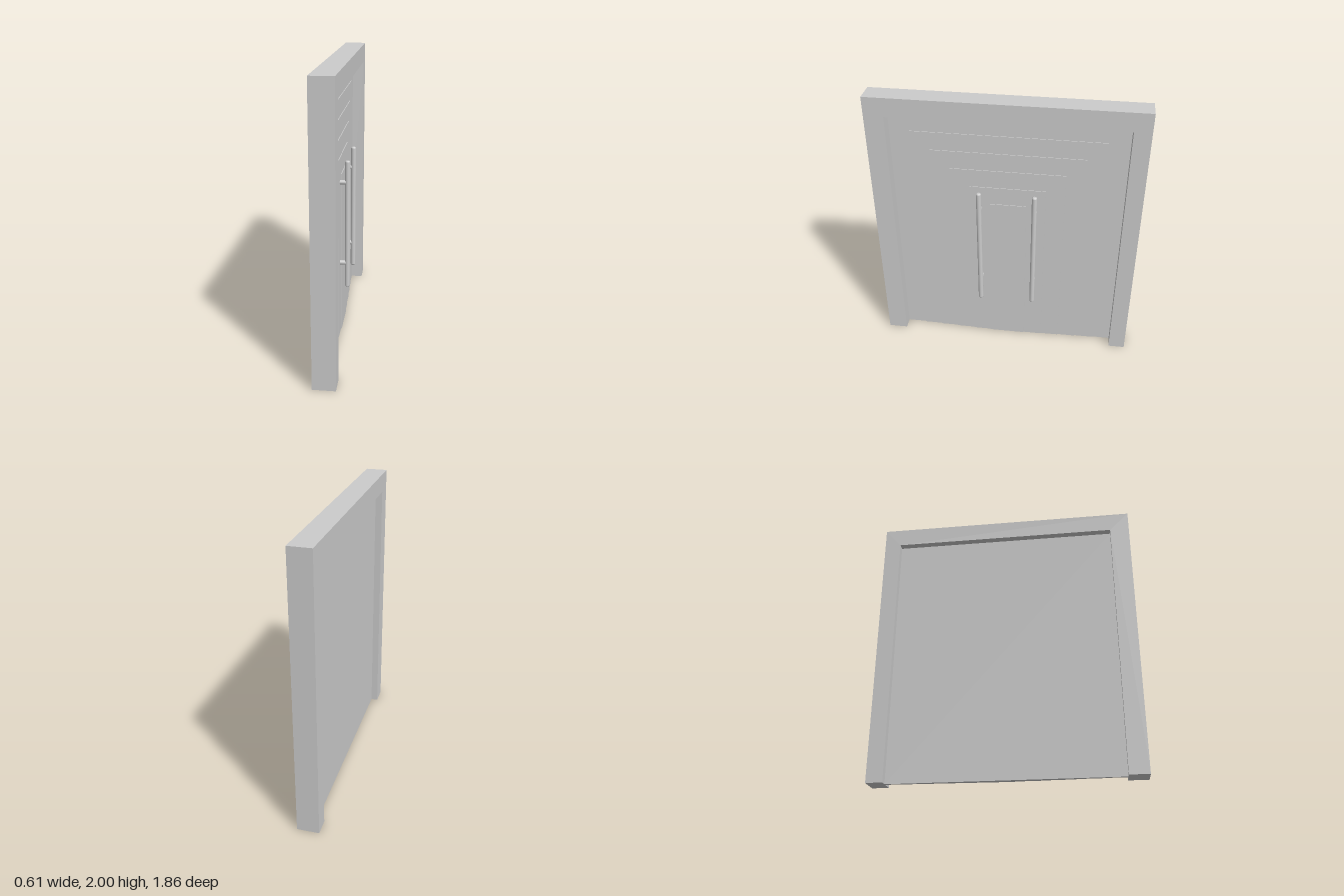
import * as THREE from 'three';

const grey = new THREE.MeshStandardMaterial({ color: 0xcccccc });

function add(parent, name, geometry, x = 0, y = 0, z = 0) {
  const mesh = new THREE.Mesh(geometry, grey);
  mesh.name = name;
  mesh.position.set(x, y, z);
  parent.add(mesh);
  return mesh;
}

export function createModel() {
  const model = new THREE.Group();
  model.name = 'doorway';
  // Built with the wall running along z and its handle side facing +x
  model.rotation.y = THREE.MathUtils.degToRad(14);

  const halfLength = 0.938, halfDepth = 0.078;
  const doorCentre = -0.01, doorHalf = 0.81, doorTop = 1.865;

  // Surround: one solid portal, open down to the floor
  const portal = new THREE.Shape([
    [-halfLength, 0], [doorCentre - doorHalf, 0], [doorCentre - doorHalf, doorTop],
    [doorCentre + doorHalf, doorTop], [doorCentre + doorHalf, 0],
    [halfLength, 0], [halfLength, 2], [-halfLength, 2],
  ].map(([u, y]) => new THREE.Vector2(u, y)));
  const surround = new THREE.ExtrudeGeometry(portal, { depth: halfDepth * 2, bevelEnabled: false });
  surround.rotateY(-Math.PI / 2);
  add(model, 'surround', surround, halfDepth);

  // Door: a backing slab with nested panels, each stepping slightly forward
  const door = new THREE.Group();
  door.name = 'door';
  model.add(door);
  const back = -0.027, slabFront = -0.008, step = 0.005;
  add(door, 'doorSlab', new THREE.BoxGeometry(slabFront - back, doorTop, doorHalf * 2),
    (back + slabFront) / 2, doorTop / 2, doorCentre);
  for (let k = 1; k <= 5; k++) {
    const height = doorTop - 0.132 * k;
    add(door, 'steppedPanel', new THREE.BoxGeometry(step, height, 0.268 * (6 - k)),
      slabFront + step * (k - 0.5), height / 2, doorCentre);
  }

  // Pull handles: a round-ended bar on two standoffs, one per side
  const r = 0.018, half = 0.47, fillet = 0.011;
  const end = [];
  for (let i = 0; i <= 4; i++) {
    const a = (i / 4) * Math.PI / 2;
    end.push(new THREE.Vector2(r - fillet + fillet * Math.cos(a), half - fillet + fillet * Math.sin(a)));
  }
  end.push(new THREE.Vector2(0, half));
  const mirrored = end.map(p => new THREE.Vector2(p.x, -p.y)).reverse();
  const bar = new THREE.LatheGeometry([...mirrored, ...end], 20);
  const barX = 0.065, baseX = 0.01;
  const standoff = new THREE.CylinderGeometry(0.016, 0.016, barX - baseX, 20);
  standoff.rotateZ(-Math.PI / 2);

  for (const side of [-1, 1]) {
    const handle = new THREE.Group();
    handle.name = side > 0 ? 'leftHandle' : 'rightHandle';
    handle.position.z = doorCentre + side * 0.195;
    add(handle, 'handleBar', bar, barX, 0.85);
    for (const y of [0.565, 1.165]) add(handle, 'handleStandoff', standoff, (barX + baseX) / 2, y);
    model.add(handle);
  }

  const root = new THREE.Group();
  root.name = 'doubleDoor';
  root.add(model);
  return root;
}
